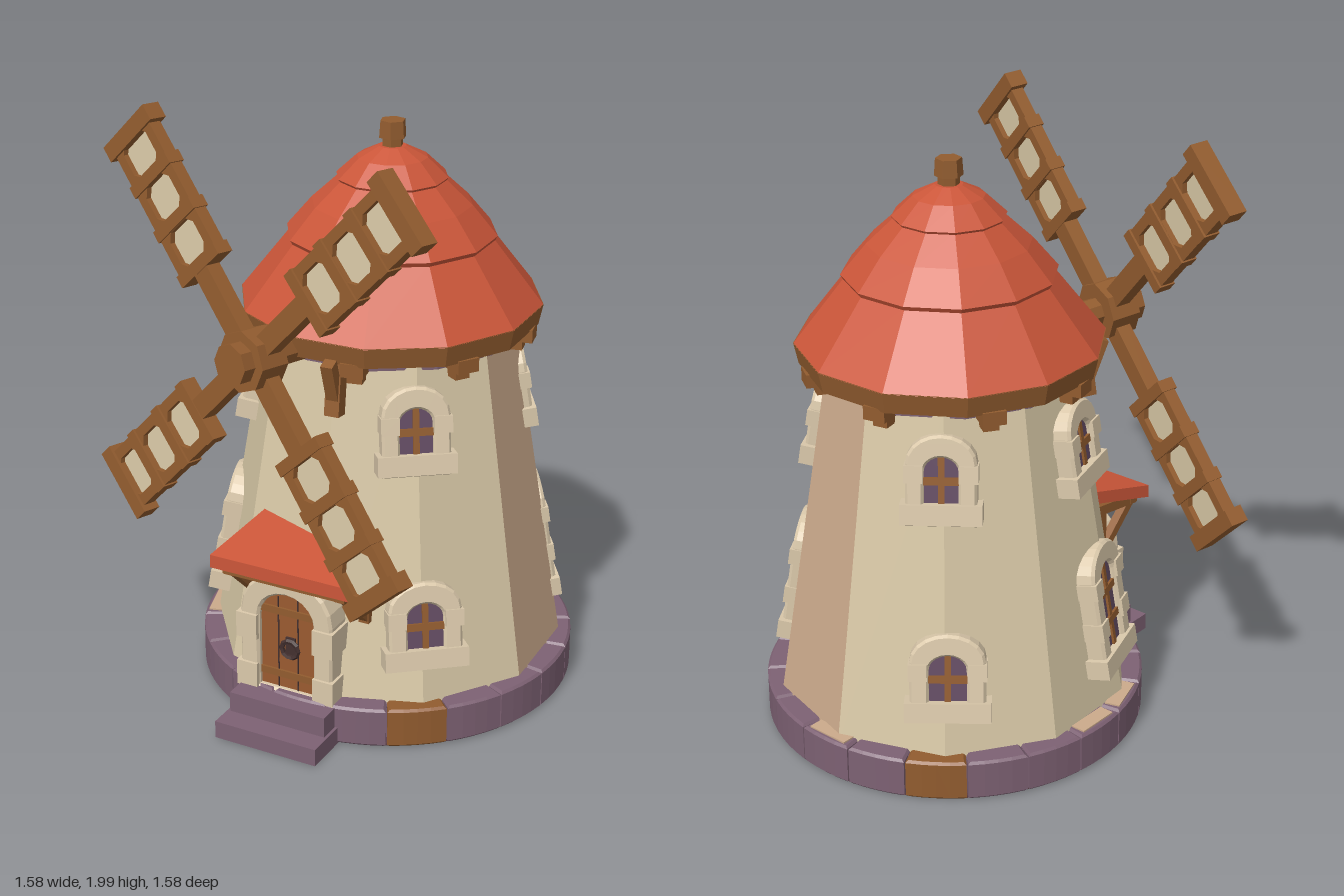
import * as THREE from 'three';

const mat = (name, color) => {
  const m = new THREE.MeshStandardMaterial({ color, flatShading: true });
  m.name = name;
  return m;
};
const M = {
  plaster: mat('cream plaster', 0xd9c9a7),
  tan: mat('tan plaster', 0xcbaa8b),
  stone: mat('pale stone', 0xdbc9ab),
  wood: mat('brown wood', 0x925c2f),
  door: mat('door wood', 0x9a5a30),
  red: mat('red roof', 0xcb5639),
  purple: mat('purple stone', 0x7d6173),
  glass: mat('purple glass', 0x634b62),
  iron: mat('dark iron', 0x43302f),
  floor: mat('dark floor', 0x5f4045),
};
const DEG = Math.PI / 180;

function mesh(name, geo, material, parent, x = 0, y = 0, z = 0) {
  const m = new THREE.Mesh(geo, material);
  m.name = name;
  m.position.set(x, y, z);
  parent.add(m);
  return m;
}
const box = (name, w, h, d, material, parent, x, y, z) =>
  mesh(name, new THREE.BoxGeometry(w, h, d), material, parent, x, y, z);

// Cylinder standing between two heights
const drum = (name, r0, r1, y0, y1, sides, material, parent) =>
  mesh(name, new THREE.CylinderGeometry(r1, r0, y1 - y0, sides), material, parent, 0, (y0 + y1) / 2, 0);

function group(name, parent, azimuth = 0) {
  const g = new THREE.Group();
  g.name = name;
  g.rotation.y = azimuth * DEG;
  parent.add(g);
  return g;
}

// Square beam between two points
function beam(name, a, b, t, material, parent) {
  const A = new THREE.Vector3(...a), B = new THREE.Vector3(...b);
  const m = box(name, t, t, A.distanceTo(B), material, parent);
  m.position.copy(A).lerp(B, 0.5);
  m.quaternion.setFromUnitVectors(new THREE.Vector3(0, 0, 1), B.sub(A).normalize());
}

function archPath(P, w, y0, h, rise) {
  const p = new P();
  p.moveTo(-w / 2, y0);
  p.lineTo(w / 2, y0);
  p.lineTo(w / 2, h - rise);
  p.absellipse(0, h - rise, w / 2, rise, 0, Math.PI, false, 0);
  p.lineTo(-w / 2, y0);
  return p;
}
function archFrame(w, h, rise, iw, iy, ih, irise, depth) {
  const s = archPath(THREE.Shape, w, 0, h, rise);
  s.holes.push(archPath(THREE.Path, iw, iy, ih, irise));
  return new THREE.ExtrudeGeometry(s, { depth, bevelEnabled: true, bevelThickness: 0.01, bevelSize: 0.008, bevelSegments: 1, curveSegments: 5 });
}

const wallRadius = (y) => 0.6 - 0.19 * (y - 0.1) / 1.15;

// Arched window with stone frame, sill, glass and glazing bars
function addWindow(parent, azimuth, y, w, h, out) {
  const g = group('window', group('windowSide', parent, azimuth));
  g.position.set(0, y, wallRadius(y) * out);
  g.rotation.x = -0.164;
  const iw = w * 0.6, ih = h - 0.055;
  mesh('windowFrame', archFrame(w, h, 0.085, iw, 0.04, ih, 0.055, 0.08), M.stone, g, 0, 0, -0.063);
  box('windowSill', w + 0.05, 0.065, 0.12, M.stone, g, 0, 0.032, -0.022);
  for (const s of [-1, 1]) box('shoulderStone', 0.06, 0.055, 0.1, M.stone, g, s * (w / 2 - 0.018), h - 0.115, -0.016);
  if (h > 0.35) for (const s of [-1, 1]) box('sideStone', 0.06, 0.06, 0.1, M.stone, g, s * (w / 2 - 0.018), h * 0.38, -0.016);
  const pane = new THREE.ShapeGeometry(archPath(THREE.Shape, iw + 0.01, 0.03, ih + 0.005, 0.055), 5);
  mesh('windowGlass', pane, M.glass, g, 0, 0, 0.01);
  box('uprightBar', 0.02, ih - 0.04, 0.01, M.wood, g, 0, (ih + 0.04) / 2, 0.013);
  const rows = h > 0.35 ? 2 : 1;
  for (let i = 1; i <= rows; i++) box('crossBar', iw, 0.024, 0.01, M.wood, g, 0, 0.05 + (ih - 0.05) * i / (rows + 1), 0.014);
}

function addBase(t) {
  drum('baseCore', 0.59, 0.59, 0.01, 0.125, 40, M.purple, t);
  drum('baseFloor', 0.625, 0.625, 0, 0.008, 40, M.floor, t);
  const n = 20, half = Math.PI / n - 0.016;
  const s = new THREE.Shape();
  s.absarc(0, 0, 0.628, -Math.PI / 2 - half, -Math.PI / 2 + half, false);
  s.absarc(0, 0, 0.555, -Math.PI / 2 + half, -Math.PI / 2 - half, true);
  const geo = new THREE.ExtrudeGeometry(s, { depth: 0.12, bevelEnabled: true, bevelThickness: 0.008, bevelSize: 0.008, bevelSegments: 1, curveSegments: 2 });
  geo.rotateX(-Math.PI / 2);
  for (let i = 0; i < n; i++) {
    const g = group('baseSegment', t, 18.5 + i * 18);
    mesh('baseBlock', geo, i % 10 ? M.purple : M.wood, g, 0, 0.009, 0);
    if ([8, 13, 14].includes(i)) box('blockTop', 0.15, 0.008, 0.05, M.tan, g, 0, 0.138, 0.595);
  }
}

function addTower(t) {
  const wall = (name, segs, start, m) => mesh(name,
    new THREE.CylinderGeometry(0.41, 0.6, 1.15, segs, 1, true, start * DEG, segs * 36 * DEG), m, t, 0, 0.675, 0);
  wall('plasterWall', 7, 165, M.plaster);
  wall('tanWall', 3, 57, M.tan);
  for (const [a, tall, out] of [[22, false, 0.99], [106, true, 0.957], [202, false, 0.99], [271, true, 0.99]]) {
    addWindow(t, a, 0.26, 0.225, tall ? 0.42 : 0.28, out);
    addWindow(t, a - 2, 0.9, 0.205, 0.275, out);
  }
}

function addRoof(t) {
  const sides = 12;
  drum('collar', 0.418, 0.418, 1.225, 1.27, sides, M.purple, t);
  drum('eaveBand', 0.485, 0.5, 1.26, 1.33, sides, M.wood, t);
  for (let i = 0; i < 8; i++) {
    const g = group('eaveBracket', t, i * 45 + 40);
    box('bracketBlock', 0.075, 0.045, 0.09, M.wood, g, 0, 1.245, 0.435);
    box('bracketFoot', 0.05, 0.04, 0.05, M.wood, g, 0, 1.21, 0.42);
  }
  drum('lowerRoof', 0.5, 0.33, 1.328, 1.545, sides, M.red, t);
  drum('middleLip', 0.335, 0.345, 1.535, 1.552, sides, M.red, t);
  drum('middleRoof', 0.345, 0.262, 1.552, 1.65, sides, M.red, t);
  drum('middleRoofTop', 0.262, 0.17, 1.65, 1.735, sides, M.red, t);
  drum('upperLip', 0.172, 0.182, 1.722, 1.737, sides, M.red, t);
  drum('upperRoof', 0.182, 0.115, 1.737, 1.8, sides, M.red, t);
  drum('roofPeak', 0.115, 0.045, 1.8, 1.835, sides, M.red, t);
  drum('finialNeck', 0.035, 0.035, 1.82, 1.87, 6, M.wood, t);
  drum('finialCap', 0.046, 0.042, 1.862, 1.918, 6, M.wood, t);
}

function addEntrance(t) {
  const g = group('entrance', t, -17);
  g.position.set(-0.05, 0, -0.015);
  // Steps
  box('lowerStep', 0.37, 0.06, 0.3, M.purple, g, 0, 0.03, 0.625);
  box('upperStep', 0.35, 0.07, 0.2, M.purple, g, 0, 0.095, 0.595);
  // Door and stone surround
  mesh('doorSurround', archFrame(0.32, 0.43, 0.15, 0.215, 0.005, 0.37, 0.1, 0.14), M.stone, g, -0.01, 0.125, 0.465);
  for (const s of [-1, 1]) for (const y of [0.17, 0.35]) box('surroundStone', 0.075, 0.09, 0.15, M.stone, g, s * 0.14 - 0.01, y, 0.55);
  const panel = new THREE.ExtrudeGeometry(archPath(THREE.Shape, 0.22, 0, 0.372, 0.1), { depth: 0.1, bevelEnabled: false, curveSegments: 5 });
  mesh('door', panel, M.door, g, -0.01, 0.125, 0.493);
  for (const x of [-0.046, 0.026]) box('plankGap', 0.004, 0.34, 0.004, M.iron, g, x, 0.3, 0.594);
  for (const y of [0.19, 0.42]) box('doorBand', 0.2, 0.025, 0.008, M.wood, g, -0.01, y, 0.597);
  mesh('doorRing', new THREE.TorusGeometry(0.03, 0.009, 5, 10), M.iron, g, 0, 0.29, 0.603);
  box('ringPlate', 0.035, 0.06, 0.008, M.iron, g, 0, 0.3, 0.597);
  // Sloping awning, wider toward the front edge
  const geo = new THREE.BoxGeometry(1, 0.045, 1);
  const p = geo.attributes.position;
  for (let i = 0; i < p.count; i++) {
    const f = p.getZ(i) + 0.5;
    p.setXYZ(i, p.getX(i) * (0.42 + 0.1 * f), p.getY(i) + 0.66 - 0.06 * f, 0.42 + 0.28 * f);
  }
  geo.computeVertexNormals();
  mesh('awning', geo, M.red, g, 0.025);
  box('awningCrossbeam', 0.44, 0.03, 0.035, M.wood, g, 0.02, 0.572, 0.665);
  for (const s of [-1, 1]) {
    const x = 0.02 + s * 0.2;
    beam('awningRafter', [x, 0.6, 0.45], [x, 0.57, 0.68], 0.035, M.wood, g);
    beam('awningStrut', [x, 0.42, 0.5], [x, 0.57, 0.66], 0.03, M.wood, g);
    box('awningPost', 0.035, 0.2, 0.04, M.wood, g, x, 0.5, 0.49);
  }
}

// Ladder frame of a sail with three chamfered openings
function sailFrame() {
  const s = new THREE.Shape();
  s.moveTo(-0.105, 0.32).lineTo(0.105, 0.32).lineTo(0.105, 0.84).lineTo(-0.105, 0.84);
  for (const y of [0.422, 0.588, 0.75]) {
    const h = new THREE.Path(), a = 0.07, b = 0.062, c = 0.025;
    h.setFromPoints([[a, c - b], [a, b - c], [a - c, b], [c - a, b], [-a, b - c], [-a, c - b], [c - a, -b], [a - c, -b]]
      .map(([px, py]) => new THREE.Vector2(px, y + py)));
    s.holes.push(h);
  }
  return new THREE.ExtrudeGeometry(s, { depth: 0.045, bevelEnabled: false }).translate(0, 0, -0.0225);
}

function addSails(t) {
  const side = group('sailSide', t, -33);
  const g = group('sails', side);
  g.position.set(0, 1.285, 0.622);
  g.rotation.x = -0.06;
  const disc = (name, r, z0, z1) => {
    mesh(name, new THREE.CylinderGeometry(r, r, z1 - z0, 8), M.wood, g, 0, 0, (z0 + z1) / 2).rotation.x = Math.PI / 2;
  };
  disc('axle', 0.05, -0.4, 0);
  disc('hub', 0.1, -0.05, 0.06);
  disc('hubCap', 0.068, 0.06, 0.105);
  const frame = sailFrame();
  for (const angle of [46, 133.5, 226, 312.5]) {
    const b = group('sail', g);
    b.rotation.z = (angle - 90) * DEG;
    box('sailArm', 0.07, 0.34, 0.055, M.wood, b, 0, 0.18, 0);
    mesh('sailLadder', frame, M.wood, b);
    for (const y of [0.34, 0.505, 0.67]) box('sailRung', 0.22, 0.04, 0.06, M.wood, b, 0, y, 0);
    box('sailTip', 0.255, 0.055, 0.065, M.wood, b, 0, 0.826, 0);
    for (const y of [0.422, 0.588, 0.75]) box('sailCloth', 0.15, 0.135, 0.008, M.plaster, b, 0, y, 0);
  }
  // Struts on the wall under the axle
  for (const a of [-13, -53]) {
    const s = group('axleSupport', t, a);
    beam('supportPost', [0, 1.08, 0.455], [0, 1.27, 0.43], 0.05, M.wood, s);
    beam('supportStrut', [0, 1.13, 0.45], [0, 1.27, 0.5], 0.04, M.wood, s);
  }
}

export function createModel() {
  const model = new THREE.Group();
  model.name = 'windmill';
  const tower = group('tower', model);
  tower.position.set(0.15, 0, -0.167);
  addBase(tower);
  addTower(tower);
  addRoof(tower);
  addEntrance(tower);
  addSails(tower);
  return model;
}
